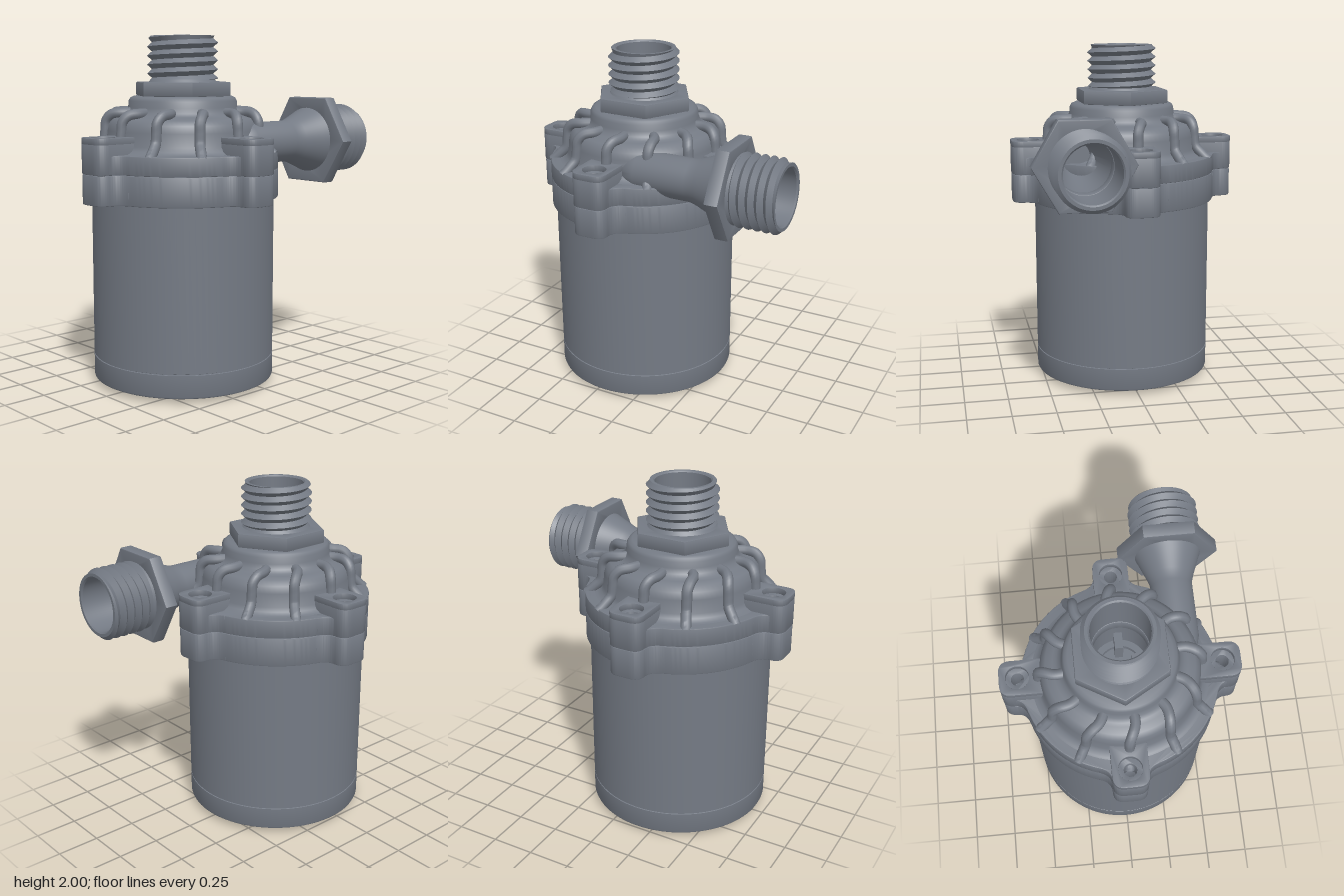
import * as THREE from 'three';
import { toCreasedNormals } from 'three/addons/utils/BufferGeometryUtils.js';

const material = new THREE.MeshStandardMaterial({ color: 0x747a84, side: THREE.DoubleSide });

function add(parent, name, geometry, crease = 0.5) {
  const mesh = new THREE.Mesh(toCreasedNormals(geometry, crease), material);
  mesh.name = name;
  parent.add(mesh);
  return mesh;
}

const lathe = (profile, segments = 72) =>
  new THREE.LatheGeometry(profile.map(([r, y]) => new THREE.Vector2(r, y)), segments);

// Extrude a plan shape upwards from y0 to y1 with a small bevel
function slab(shape, y0, y1, bevel = 0.006) {
  const g = new THREE.ExtrudeGeometry(shape, {
    depth: y1 - y0 - 2 * bevel, bevelEnabled: true, bevelThickness: bevel,
    bevelSize: bevel, bevelOffset: -bevel, bevelSegments: 2, curveSegments: 20,
  });
  return g.rotateX(-Math.PI / 2).translate(0, y0 + bevel, 0);
}

const hole = (x, y, r) => new THREE.Path().absarc(x, y, r, 0, Math.PI * 2, true);

// Helical V thread: rows alternate between crest and root and climb with the angle
function threadGeometry(radius, y0, y1, pitch = 0.05, depth = 0.028) {
  const rows = Math.ceil((y1 - y0) / pitch + 1) * 2, seg = 64;
  const g = new THREE.CylinderGeometry(1, 1, 1, seg, rows, true);
  const p = g.attributes.position;
  for (let i = 0; i < p.count; i++) {
    const row = rows - Math.floor(i / (seg + 1));
    const turn = (i % (seg + 1)) / seg, a = turn * Math.PI * 2;
    const y = THREE.MathUtils.clamp(y0 + (row / 2 + turn - 1) * pitch, y0, y1);
    const phase = (((y - y0) / pitch - turn) % 1 + 1) % 1;
    let r = radius - depth * (1 - Math.abs(phase * 2 - 1));
    r = Math.min(r, radius - 0.022 + (y1 - y)); // lead-in chamfer
    p.setXYZ(i, Math.sin(a) * r, y, Math.cos(a) * r);
  }
  return g;
}

// Hex collar with a threaded, bored spigot along +y
function fitting(name, length, floorRadius, depth) {
  const group = new THREE.Group();
  group.name = name;
  const hex = new THREE.Shape();
  for (let i = 0; i < 6; i++) {
    const a = i * Math.PI / 3;
    hex[i ? 'lineTo' : 'moveTo'](0.287 * Math.cos(a), 0.287 * Math.sin(a));
  }
  hex.closePath();
  hex.holes.push(hole(0, 0, 0.15));
  add(group, 'hexCollar', slab(hex, 0, 0.08, 0.008), 0.6);
  add(group, 'thread', threadGeometry(0.203, 0.095, length), 0.4);
  add(group, 'threadRelief', lathe([[0.2, 0.075], [0.178, 0.1]]));
  add(group, 'bore', lathe([[0, -depth], [floorRadius, -depth], [0.155, 0],
    [0.155, length - 0.008], [0.163, length], [0.181, length]]));
  return group;
}

// Round flange outline with four bolt lugs
function flangeShape() {
  const s = new THREE.Shape();
  for (let i = 0; i < 4; i++) {
    const a = i * Math.PI / 2, c = Math.cos(a), n = Math.sin(a);
    const P = (u, v) => [u * c - v * n, u * n + v * c];
    s[i ? 'lineTo' : 'moveTo'](...P(0.525, -0.165));
    s.quadraticCurveTo(...P(0.545, -0.099), ...P(0.6, -0.099));
    s.quadraticCurveTo(...P(0.664, -0.099), ...P(0.664, -0.035));
    s.lineTo(...P(0.664, 0.035));
    s.quadraticCurveTo(...P(0.664, 0.099), ...P(0.6, 0.099));
    s.quadraticCurveTo(...P(0.545, 0.099), ...P(0.525, 0.165));
    s.absarc(0, 0, 0.55, a + 0.305, a + Math.PI / 2 - 0.305, false);
    s.holes.push(hole(...P(0.565, 0), 0.037));
  }
  return s;
}

// Raised lug block around a bolt hole
function lugShape(holeRadius) {
  const s = new THREE.Shape();
  s.moveTo(0.43, -0.1);
  s.lineTo(0.6, -0.1);
  s.quadraticCurveTo(0.666, -0.1, 0.666, -0.035);
  s.lineTo(0.666, 0.035);
  s.quadraticCurveTo(0.666, 0.1, 0.6, 0.1);
  s.lineTo(0.43, 0.1);
  s.closePath();
  s.holes.push(hole(0.565, 0, holeRadius));
  return s;
}

// Rounded rib hugging the cover from neck to rim, stepping sideways at the shoulder
function ribGeometry() {
  const points = [[0.28, 1.57], [0.36, 1.569], [0.415, 1.56], [0.443, 1.525], [0.449, 1.47],
    [0.458, 1.415], [0.495, 1.375], [0.54, 1.335]].map(([r, y]) => {
    const a = 0.04 * (r - 0.28) / 0.26 + 0.1 * THREE.MathUtils.smoothstep(r, 0.36, 0.46) - 0.14;
    return new THREE.Vector3(r * Math.cos(a), y, r * Math.sin(a));
  });
  return new THREE.TubeGeometry(new THREE.CatmullRomCurve3(points), 32, 0.029, 10);
}

export function createModel() {
  const model = new THREE.Group();
  model.name = 'pump';
  const pump = new THREE.Group();
  pump.name = 'pumpBody';
  pump.position.z = 0.18;
  model.add(pump);

  // Motor can with the end cap seam
  add(pump, 'motorHousing', lathe([[0, 0.028], [0.512, 0.028], [0.522, 0.033], [0.526, 0.042],
    [0.526, 0.163], [0.521, 0.165], [0.521, 0.169], [0.526, 0.171], [0.526, 1.1]], 96));
  const cableBoss = add(pump, 'cableBoss', lathe([[0, 0.026], [0.05, 0.026], [0.055, 0],
    [0.088, 0], [0.1, 0.012], [0.1, 0.032]], 32));
  cableBoss.position.z = 0.33;
  const tab = add(pump, 'bottomTab', new THREE.BoxGeometry(0.07, 0.008, 0.025));
  tab.position.set(0, 0.029, -0.45);

  // Two clamped flanges meeting at a fine seam
  add(pump, 'lowerFlange', slab(flangeShape(), 1.085, 1.25));
  add(pump, 'upperFlange', slab(flangeShape(), 1.25, 1.355));
  for (let i = 0; i < 4; i++) {
    const lug = new THREE.Group();
    lug.name = 'boltLug';
    lug.rotation.y = i * Math.PI / 2;
    add(lug, 'lugBase', slab(lugShape(0.036), 1.256, 1.415, 0.001));
    add(lug, 'lugRim', slab(lugShape(0.066), 1.414, 1.448, 0.001));
    pump.add(lug);
  }

  // Volute cover and its ribs
  add(pump, 'voluteCover', lathe([[0.52, 1.35], [0.485, 1.357], [0.46, 1.372], [0.447, 1.395],
    [0.44, 1.47], [0.43, 1.51], [0.405, 1.538], [0.365, 1.548], [0.345, 1.555], [0.325, 1.572],
    [0.313, 1.6], [0.31, 1.635], [0.3, 1.652], [0.28, 1.661], [0.155, 1.661]], 96), 0.7);
  const rib = ribGeometry();
  for (let i = 0; i < 12; i++) add(pump, 'rib', rib, 0.9).rotation.y = i * Math.PI / 6;

  // Inlet with four guide bars inside
  const inlet = fitting('inlet', 0.34, 0.15, 0.2);
  inlet.position.y = 1.66;
  inlet.rotation.y = Math.PI / 2;
  for (let i = 0; i < 4; i++) {
    const a = i * Math.PI / 2;
    const bar = add(inlet, 'guideBar', new THREE.BoxGeometry(0.09, 0.14, 0.045));
    bar.position.set(0.105 * Math.cos(a), -0.13, 0.105 * Math.sin(a));
    bar.rotation.y = -a;
  }
  add(inlet, 'guideRing', lathe([[0.115, -0.2], [0.115, -0.17], [0.155, -0.17]], 48));
  pump.add(inlet);

  // Tangential outlet pipe, flaring to its own fitting
  const outlet = new THREE.Group();
  outlet.name = 'outlet';
  outlet.position.set(0.34, 1.395, -0.5);
  outlet.rotation.x = -Math.PI / 2;
  add(outlet, 'outletPipe', lathe([[0, -0.64], [0.06, -0.625], [0.1, -0.58], [0.119, -0.51],
    [0.119, -0.2], [0.123, -0.17], [0.134, -0.135], [0.175, -0.03], [0.19, 0.005]], 64), 0.8);
  outlet.add(fitting('outletFitting', 0.345, 0.085, 0.3));
  model.add(outlet);
  return model;
}
